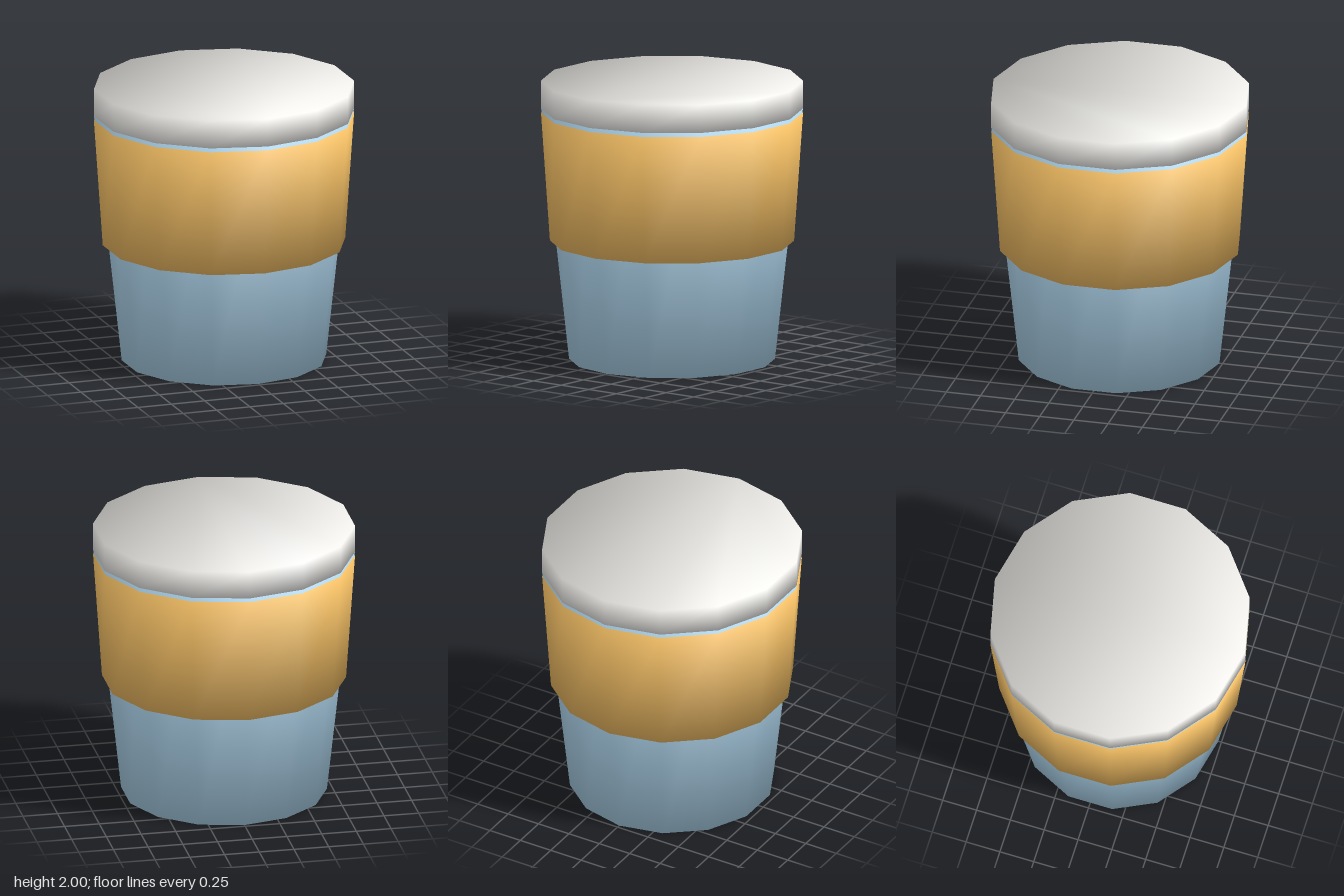
import * as THREE from 'three';

const SIDES = 14;

// Closed, tapered 14-sided drum whose rim normals blend the wall with the flat ends
function drum(name, color, y0, r0, y1, r1) {
  const pos = [], nor = [], index = [];
  const slope = (r1 - r0) / (y1 - y0);
  const wall = 1.14; // weight of the wall against the end face
  for (const [y, r, dir] of [[y0, r0, -1], [y1, r1, 1]]) {
    for (let i = 0; i < SIDES; i++) {
      const a = (i / SIDES) * Math.PI * 2;
      const n = new THREE.Vector3(Math.sin(a) * wall, dir - slope * wall, Math.cos(a) * wall).normalize();
      pos.push(Math.sin(a) * r, y, Math.cos(a) * r);
      nor.push(n.x, n.y, n.z);
    }
  }
  // Wall
  for (let i = 0; i < SIDES; i++) {
    const j = (i + 1) % SIDES;
    index.push(i, j, SIDES + j, i, SIDES + j, SIDES + i);
  }
  // Flat ends
  for (let i = 1; i < SIDES - 1; i++) {
    index.push(0, i + 1, i);
    index.push(SIDES, SIDES + i, SIDES + i + 1);
  }
  const geometry = new THREE.BufferGeometry();
  geometry.setAttribute('position', new THREE.Float32BufferAttribute(pos, 3));
  geometry.setAttribute('normal', new THREE.Float32BufferAttribute(nor, 3));
  geometry.setIndex(index);
  const mesh = new THREE.Mesh(geometry, new THREE.MeshStandardMaterial({ color }));
  mesh.name = name;
  return mesh;
}

export function createModel() {
  const cup = new THREE.Group();
  cup.name = 'cup';
  cup.add(
    drum('cupBody', 0xadd4ec, 0, 0.727, 1.8, 0.924),
    drum('sleeve', 0xf4bf64, 0.85, 0.862, 1.77, 0.925),
    drum('lid', 0xf1f0ec, 1.8, 0.925, 2, 0.925)
  );
  return cup;
}
